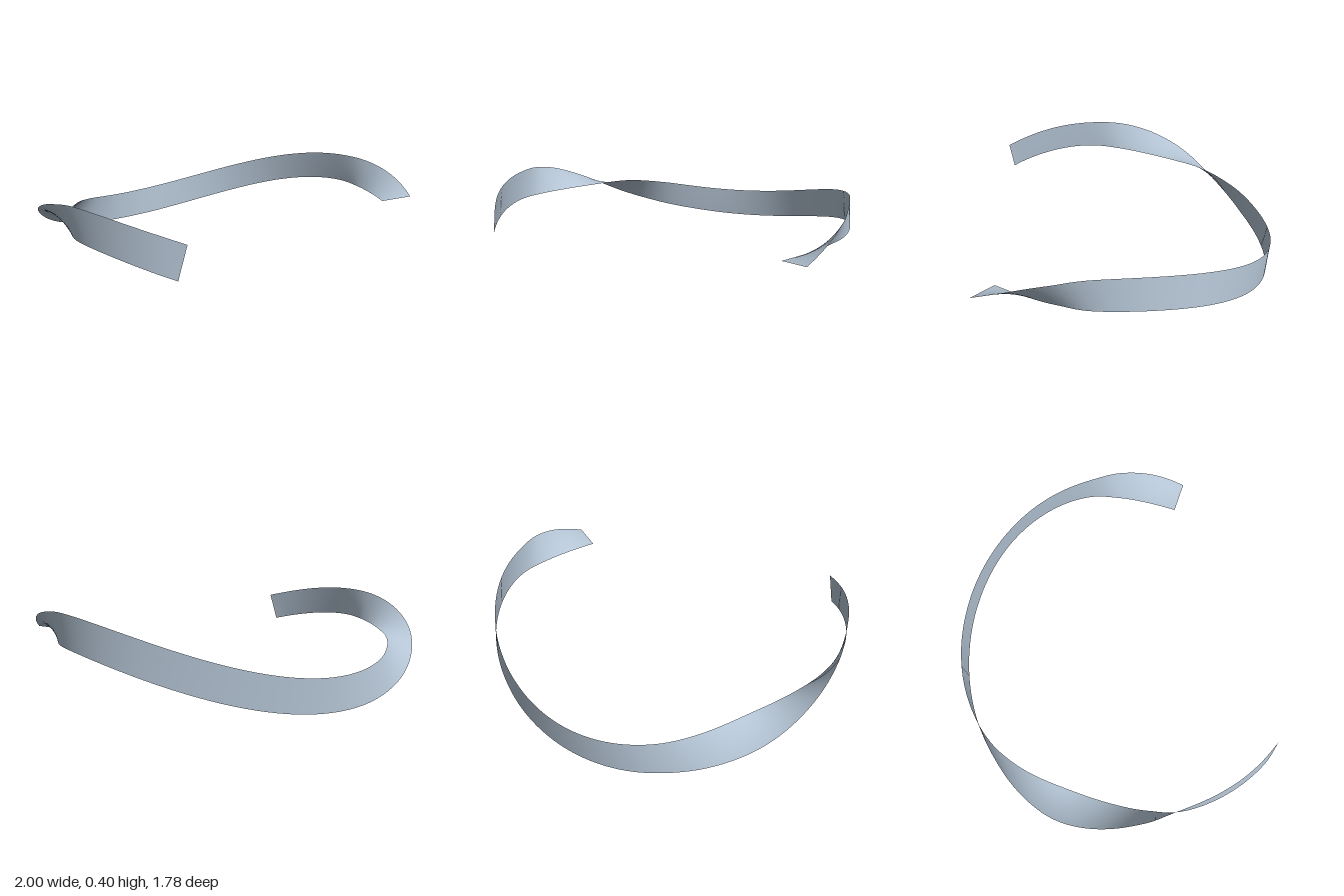
import * as THREE from 'three';
import { ParametricGeometry } from 'three/addons/geometries/ParametricGeometry.js';

const RADIUS = 0.92, HALF_WIDTH = 0.08, CENTRE_Z = 0.03;
const rad = THREE.MathUtils.degToRad;

// Twist of the band (degrees from flat) against the angle around the ring.
// The pattern repeats every half turn, with the band rolled over by 180.
const half = [[0, 8], [14, 46], [22, 65], [34, 90], [60, 97], [90, 90],
  [108, 87], [124, 90], [142, 101], [152, 115], [165, 142]];
const keys = [0, 180].flatMap(k => half.map(([a, t]) => new THREE.Vector2(a + k, t + k)));
const twist = new THREE.SplineCurve(keys.filter(p => p.x <= 241));
twist.points.push(new THREE.Vector2(248.3, 276));

// Point on the band: u runs along it, v runs across it.
function bandPoint(u, v, target) {
  const { x, y } = twist.getPoint(u);
  const angle = rad(x), roll = rad(y), wave = rad(2 * (x - 34));
  const outward = new THREE.Vector3(Math.cos(angle), 0, -Math.sin(angle));
  const along = new THREE.Vector3(-RADIUS * Math.sin(angle), -0.242 * Math.sin(wave), -RADIUS * Math.cos(angle)).normalize();
  const upward = new THREE.Vector3().crossVectors(outward, along);
  const offset = (v * 2 - 1) * HALF_WIDTH;
  target.copy(outward).multiplyScalar(RADIUS + offset * Math.cos(roll));
  target.addScaledVector(upward, offset * Math.sin(roll));
  target.y += 0.202 + 0.121 * Math.cos(wave);
  target.z += CENTRE_Z;
}

export function createModel() {
  const group = new THREE.Group();
  group.name = 'twistedRibbon';
  const steel = new THREE.MeshStandardMaterial({ color: 0xb4c4d4 });
  steel.name = 'paleSteelBlue';
  steel.side = THREE.DoubleSide;
  const band = new THREE.Mesh(new ParametricGeometry(bandPoint, 240, 6), steel);
  band.name = 'ribbonBand';
  group.add(band);
  return group;
}
